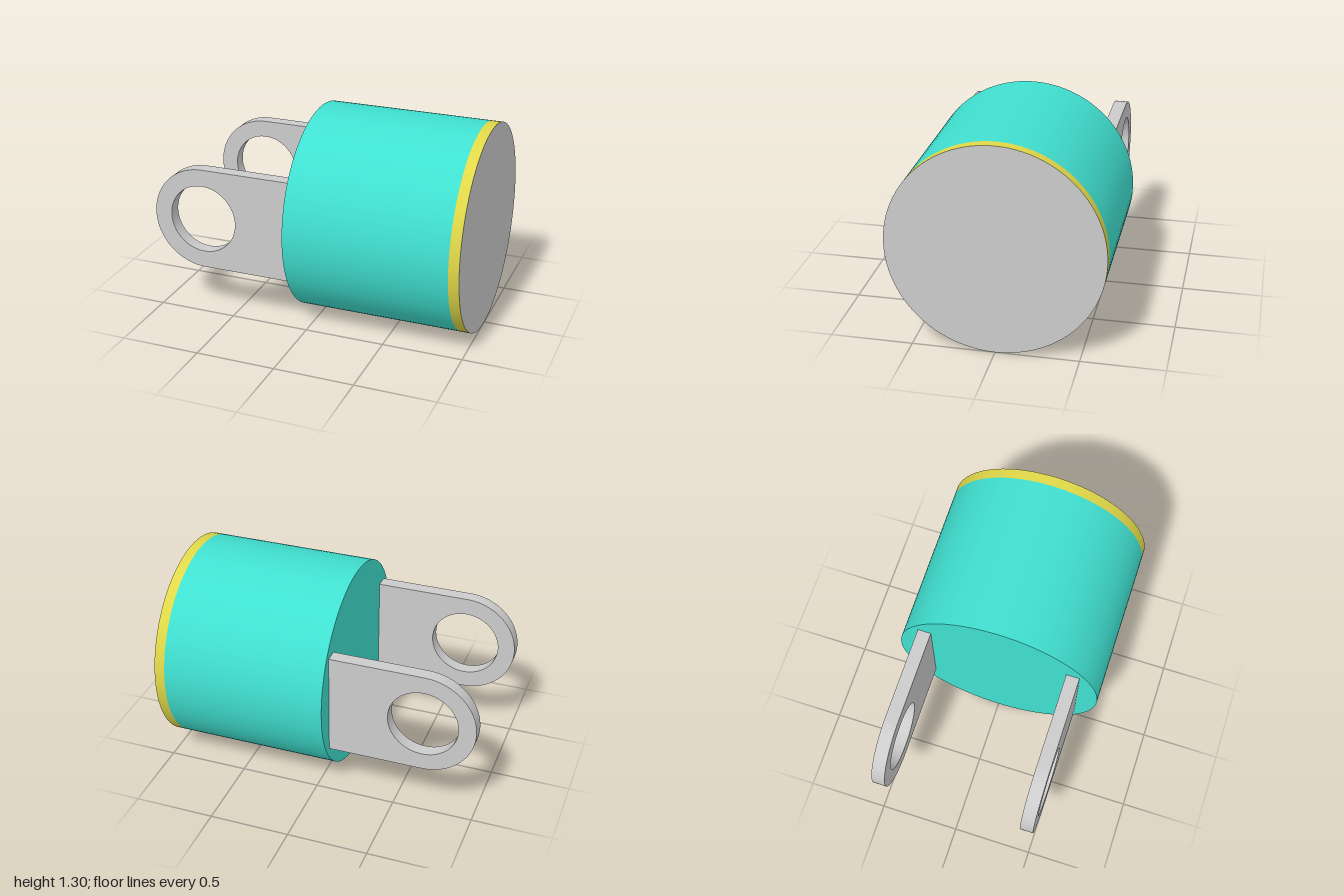
import * as THREE from 'three';

const R = 0.648;        // body radius and axis height
const BACK = -0.09;     // body face that carries the lugs
const BAND = 0.935;     // where the end band starts
const FRONT = 1;

const teal = new THREE.MeshStandardMaterial({ color: 0x40e0d0 });
const yellow = new THREE.MeshStandardMaterial({ color: 0xe0d848 });
const grey = new THREE.MeshStandardMaterial({ color: 0xcccccc });

function add(group, name, geometry, material) {
  const mesh = new THREE.Mesh(geometry, material);
  mesh.name = name;
  group.add(mesh);
  return mesh;
}

// Cylinder lying along x between two positions
function barrel(x0, x1) {
  return new THREE.CylinderGeometry(R, R, x1 - x0, 96, 1, true)
    .rotateZ(-Math.PI / 2)
    .translate((x0 + x1) / 2, R, 0);
}

// Disc closing the cylinder, facing +x or -x
function disc(x, side) {
  return new THREE.CircleGeometry(R, 96)
    .rotateY(side * Math.PI / 2)
    .translate(x, R, 0);
}

// Plate with a rounded end and a pin hole
function lugGeometry() {
  const r = 0.325, cx = -0.675, thickness = 0.084;
  const shape = new THREE.Shape();
  shape.moveTo(BACK, -r);
  shape.lineTo(BACK, r);
  shape.lineTo(cx, r);
  shape.absarc(cx, 0, r, Math.PI / 2, Math.PI * 1.5, false);
  shape.closePath();
  const hole = new THREE.Path();
  hole.absarc(cx, 0, 0.217, 0, Math.PI * 2, true);
  shape.holes.push(hole);
  return new THREE.ExtrudeGeometry(shape, { depth: thickness, bevelEnabled: false, curveSegments: 40 })
    .translate(0, R, -thickness / 2);
}

export function createModel() {
  const model = new THREE.Group();
  model.name = 'clevisCylinder';

  // Body with its rear face
  add(model, 'body', barrel(BACK, BAND), teal);
  add(model, 'bodyRearFace', disc(BACK, -1), teal);

  // Coloured band and grey end face
  add(model, 'endBand', barrel(BAND, FRONT), yellow);
  add(model, 'endFace', disc(FRONT, 1), grey);

  // Pair of pin lugs
  const lug = lugGeometry();
  for (const side of [1, -1]) {
    add(model, side > 0 ? 'frontLug' : 'backLug', lug, grey).position.z = side * 0.474;
  }
  return model;
}
